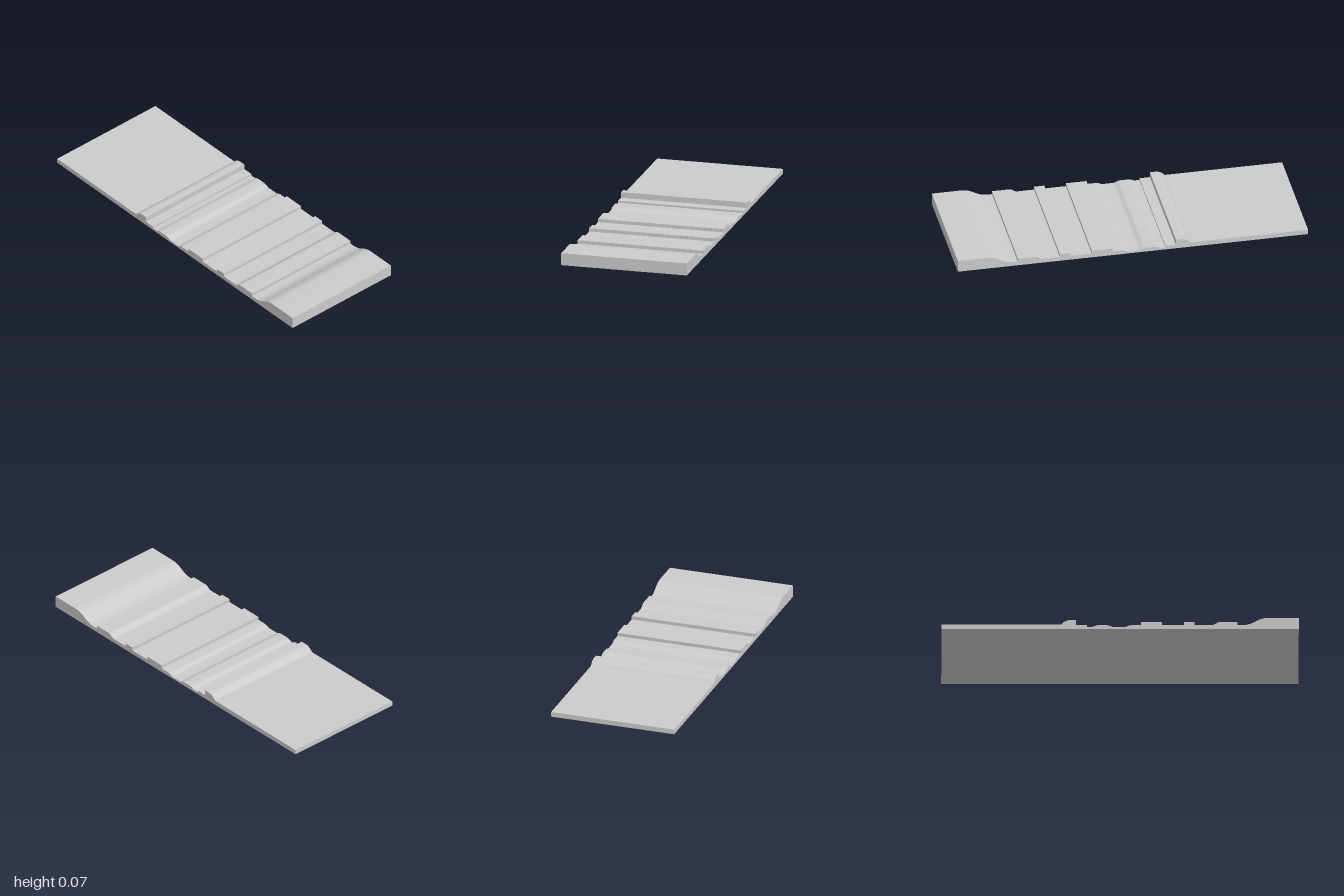
import * as THREE from 'three';
import { toCreasedNormals } from 'three/addons/utils/BufferGeometryUtils.js';

const WIDTH = 0.73;

export function createModel() {
  const group = new THREE.Group();
  group.name = 'contouredSlab';

  const profile = new THREE.Shape();
  let x = -1, y = 0.028;
  const flat = (toX) => { x = toX; profile.lineTo(x, y); };
  const step = (toY) => { y = toY; profile.lineTo(x, y); };
  // S-shaped transition, level at both ends
  const ease = (toX, toY) => {
    const mid = (x + toX) / 2;
    profile.bezierCurveTo(mid, y, mid, toY, toX, toY);
    x = toX; y = toY;
  };

  // flat run on the right, then the rounded lip
  profile.moveTo(-1, 0);
  profile.lineTo(x, y);
  flat(-0.33);
  profile.bezierCurveTo(-0.315, 0.045, -0.3, 0.056, -0.275, 0.056);
  x = -0.275; y = 0.056;
  flat(-0.245);
  step(0.024);

  // shallow channels
  flat(-0.185);
  step(0.013);
  flat(-0.165);
  ease(-0.12, 0.024);
  flat(-0.075);
  ease(-0.03, 0.012);
  flat(0.02);
  ease(0.065, 0.024);

  // square ridges
  for (const [start, end] of [[0.117, 0.235], [0.358, 0.417]]) {
    flat(start);
    step(0.043);
    flat(end);
    step(0.024);
  }

  // ridge with one soft side
  flat(0.51);
  ease(0.56, 0.043);
  flat(0.657);
  step(0.024);

  // long rise to the thick end
  flat(0.675);
  ease(0.84, 0.07);
  flat(1);
  step(0);
  profile.closePath();

  const extruded = new THREE.ExtrudeGeometry(profile, {
    depth: WIDTH, bevelEnabled: false, curveSegments: 14,
  });
  extruded.translate(0, 0, -WIDTH / 2);

  const slab = new THREE.Mesh(
    toCreasedNormals(extruded, 0.45),
    new THREE.MeshStandardMaterial({ color: 0xcccccc }),
  );
  slab.name = 'slab';
  group.add(slab);
  return group;
}
